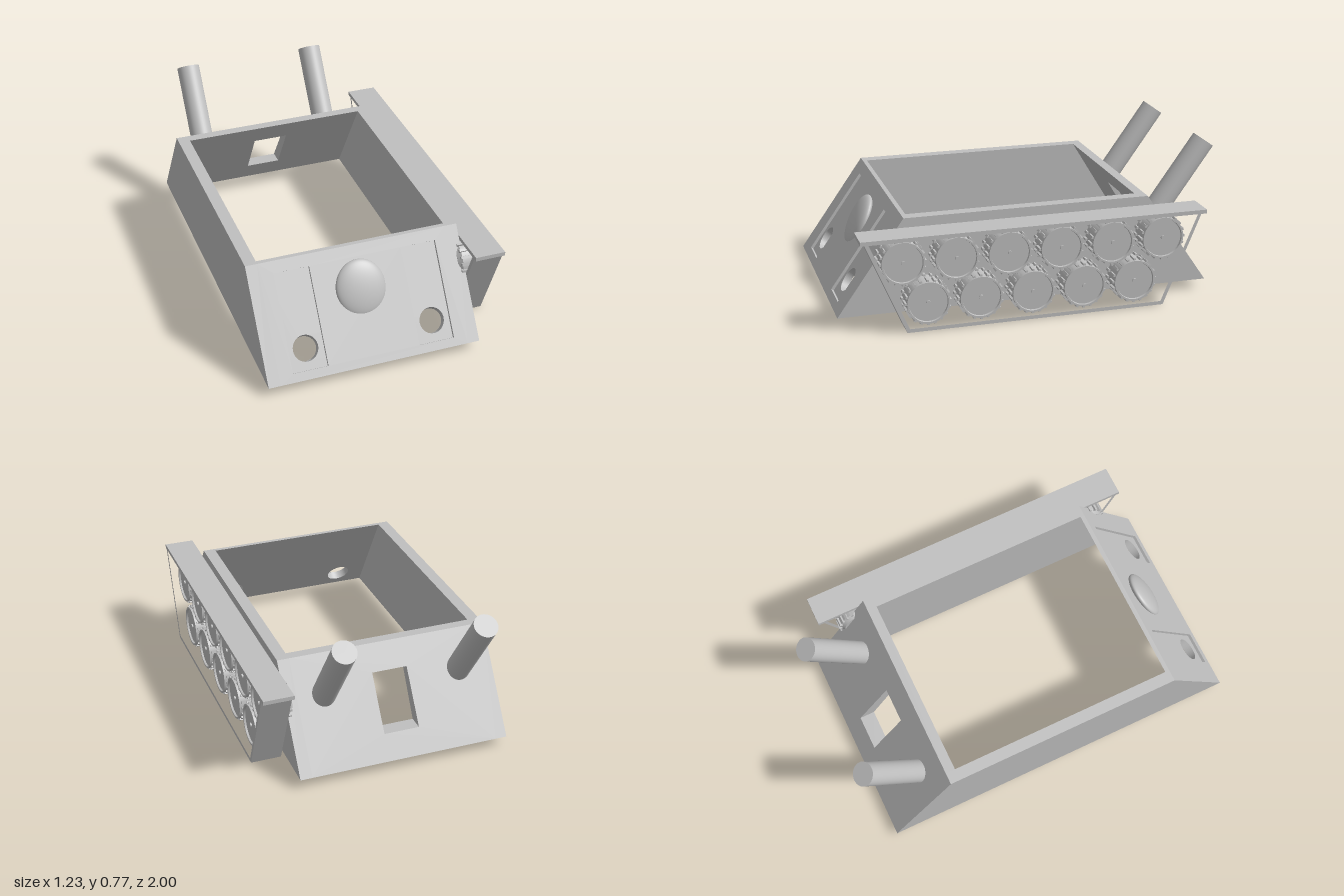
import * as THREE from 'three';
import { toCreasedNormals, mergeGeometries } from 'three/addons/utils/BufferGeometryUtils.js';

const Y0 = 0.05, Y1 = 0.525;
// z of a sloped wall at height y, given its z at the bottom and at the top
const slope = (bottom, top) => (y) => bottom + ((top - bottom) * (y - Y0)) / (Y1 - Y0);
const frontOuter = slope(1.0, 0.665);
const frontMid = slope(0.982, 0.647);
const frontInner = slope(0.925, 0.643);
const backOuter = slope(-0.905, -0.58);
const backInner = slope(-0.82, -0.53);

const polygon = (pts) => new THREE.Shape(pts.map((p) => new THREE.Vector2(p[0], p[1])));
const rect = (x0, x1, y0, y1) => polygon([[x0, y0], [x1, y0], [x1, y1], [x0, y1]]);

// Sloped wall: a rectangle with holes, both faces laid onto sloping planes.
// Cut edges are shifted in y so that openings can run square to the slope.
function slopedWall(holes, rear, fore, rearShift = 0, foreShift = 0) {
  const shape = rect(-0.555, 0.4, Y0, Y1);
  shape.holes.push(...holes);
  const g = new THREE.ExtrudeGeometry(shape, { depth: 1, bevelEnabled: false, curveSegments: 32 });
  const p = g.attributes.position;
  for (let i = 0; i < p.count; i++) {
    const isFore = p.getZ(i) > 0.5;
    let y = p.getY(i);
    if (y > Y0 + 0.001 && y < Y1 - 0.001) y += isFore ? foreShift : rearShift;
    p.setY(i, y);
    p.setZ(i, isFore ? fore(y) : rear(y));
  }
  g.computeVertexNormals();
  return g;
}

// Extrude a (z, y) outline along x
function sideExtrude(shape, x0, x1) {
  const g = new THREE.ExtrudeGeometry(shape, { depth: x1 - x0, bevelEnabled: false });
  return g.rotateY(-Math.PI / 2).translate(x1, 0, 0);
}

// Toothed roller with a shallow recessed face and a small axle
function wheelGeometry() {
  const profile = [[0, 0.43], [0.088, 0.43], [0.106, 0.45], [0.106, 0.575], [0.097, 0.575], [0.095, 0.565], [0, 0.565]];
  const drum = new THREE.LatheGeometry(profile.map((p) => new THREE.Vector2(p[0], p[1])), 40);
  const parts = [toCreasedNormals(drum.rotateZ(-Math.PI / 2), 0.5)];
  const axle = new THREE.CylinderGeometry(0.011, 0.011, 0.02, 16).rotateZ(-Math.PI / 2).translate(0.563, 0, 0);
  parts.push(axle.toNonIndexed());
  const teeth = 20;
  for (let i = 0; i < teeth; i++) {
    for (const x of [0.465, 0.54]) {
      const tooth = new THREE.BoxGeometry(0.05, 0.016, 0.012).translate(x, 0.108, 0);
      parts.push(tooth.rotateX((i / teeth) * Math.PI * 2).toNonIndexed());
    }
  }
  return mergeGeometries(parts);
}

// Tilted exhaust pipe whose lower end is trimmed to the back slope
function pipeGeometry() {
  const tilt = 0.62, len = 0.56, c = Math.cos(tilt), s = Math.sin(tilt);
  const g = new THREE.CylinderGeometry(0.06, 0.06, len, 40).translate(0, -len / 2, 0);
  const p = g.attributes.position;
  const lower = Array.from({ length: p.count }, (_, i) => p.getY(i) < -len / 2);
  g.rotateX(-tilt).translate(0, 0.736, -0.955);
  const k = (-0.58 + 0.905) / (Y1 - Y0);
  lower.forEach((isLower, i) => {
    if (!isLower) return;
    const t = (p.getZ(i) - backOuter(p.getY(i)) - 0.01) / (s + k * c);
    p.setY(i, p.getY(i) + t * c);
    p.setZ(i, p.getZ(i) - t * s);
  });
  return g;
}

export function createModel() {
  const model = new THREE.Group();
  model.name = 'hullSection';
  const grey = new THREE.MeshStandardMaterial({ color: 0xbfbfbf });
  grey.name = 'light grey';
  const add = (name, geometry, parent = model) => {
    const mesh = new THREE.Mesh(geometry, grey);
    mesh.name = name;
    parent.add(mesh);
    return mesh;
  };

  // Hollow hull: two trapezoid sides
  const side = polygon([[1.0, Y0], [0.665, Y1], [-0.58, Y1], [-0.905, Y0]]);
  add('leftHullSide', sideExtrude(side, 0.4, 0.46));
  add('rightHullSide', sideExtrude(side, -0.615, -0.555));

  // Front wall: outer skin with two recesses, inner skin with round holes
  const recesses = [rect(-0.487, -0.31, 0.085, 0.477), rect(0.155, 0.335, 0.085, 0.477)];
  add('frontSkin', slopedWall(recesses, frontMid, frontOuter, -0.009, 0));
  const ports = [-0.4, 0.245].map((x) => new THREE.Path().absellipse(x, 0.17, 0.0625, 0.052, 0, Math.PI * 2));
  add('frontWall', slopedWall(ports, frontInner, frontMid, -0.035, -0.009));

  // Back wall with a window cut straight through
  add('backWall', slopedWall([rect(-0.175, 0.005, 0.16, 0.408)], backOuter, backInner));

  // Dome on the front slope, leaning upwards
  const dome = new THREE.SphereGeometry(1, 40, 16, 0, Math.PI * 2, 0, Math.PI / 2);
  dome.applyMatrix4(new THREE.Matrix4().set(
    0.125, 0, 0, -0.08,
    0, 0.072, -0.102, 0.355,
    0, 0, 0.072, 0.785,
    0, 0, 0, 1));
  add('frontDome', dome);

  // Exhaust pipes
  const pipe = pipeGeometry();
  for (const x of [-0.44, 0.262]) add('exhaustPipe', pipe).position.x = x;

  // Thin track frame on the left side
  const frame = polygon([[0.905, 0.478], [0.905, 0.458], [0.885, 0.458], [0.69, 0], [-0.615, 0],
    [-0.805, 0.458], [-0.835, 0.458], [-0.835, 0.478]]);
  frame.holes.push(polygon([[0.865, 0.458], [0.678, 0.018], [-0.602, 0.018], [-0.787, 0.458]]));
  add('trackFrame', sideExtrude(frame, 0.46, 0.613));

  // Two rows of wheels
  const wheels = new THREE.Group();
  wheels.name = 'wheels';
  model.add(wheels);
  const wheel = wheelGeometry();
  for (const [name, count, y, z] of [['upperWheel', 6, 0.337, 0.694], ['lowerWheel', 5, 0.125, 0.575]]) {
    for (let i = 0; i < count; i++) add(name, wheel, wheels).position.set(0, y, z - i * 0.2635);
  }
  return model;
}
